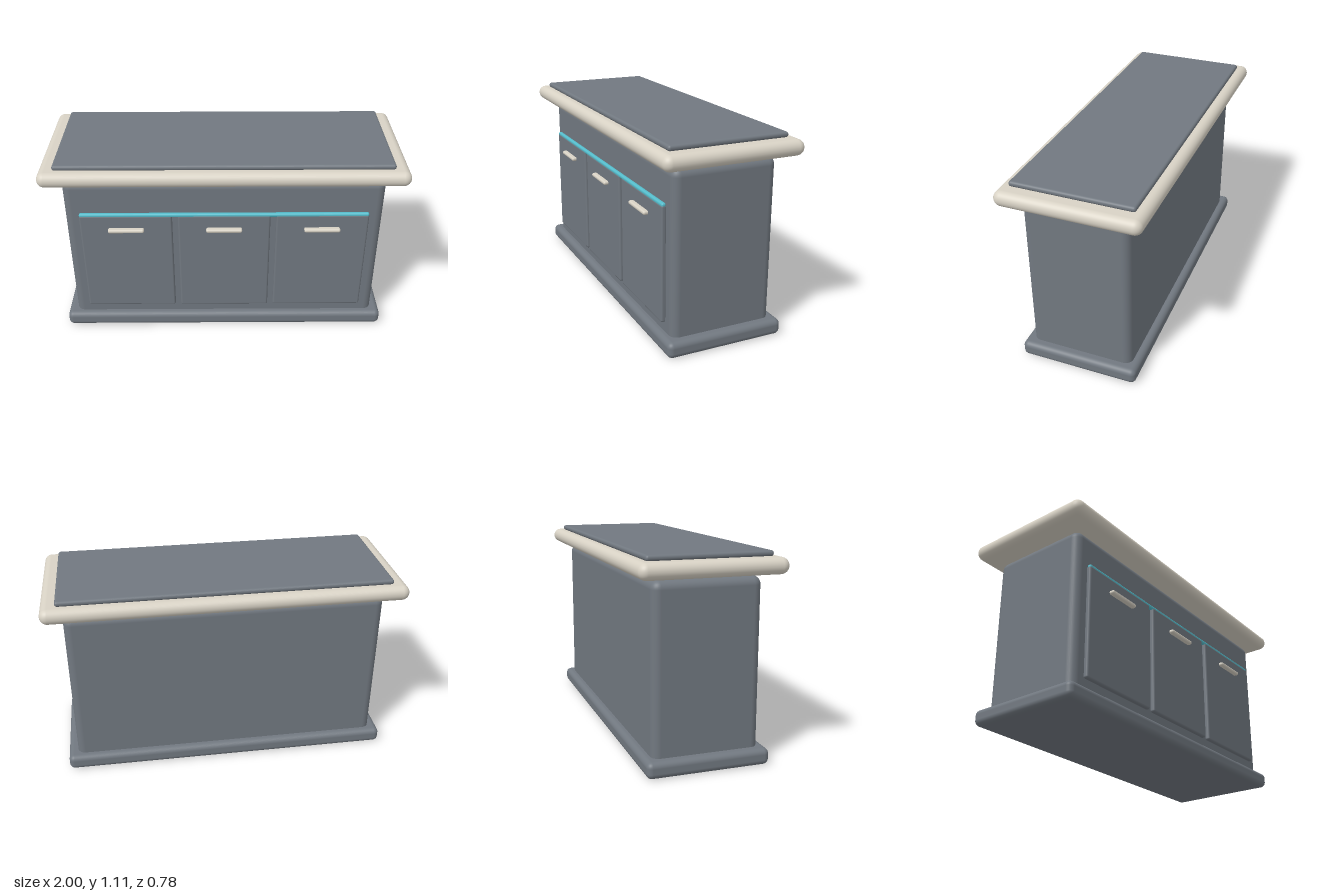
import * as THREE from 'three';
import { RoundedBoxGeometry } from 'three/addons/geometries/RoundedBoxGeometry.js';

export function createModel() {
  const model = new THREE.Group();
  model.name = 'counter';

  const material = (name, color) => {
    const m = new THREE.MeshStandardMaterial({ color });
    m.name = name;
    return m;
  };
  const slate = material('slate grey', 0x717880);
  const cream = material('warm cream', 0xd8d2c5);
  const teal = material('teal', 0x55bccb);

  // Rounded block given by its min and max on each axis
  const block = (name, mat, [x0, x1], [y0, y1], [z0, z1], radius, parent = model) => {
    const geometry = new RoundedBoxGeometry(x1 - x0, y1 - y0, z1 - z0, 4, radius);
    const mesh = new THREE.Mesh(geometry, mat);
    mesh.name = name;
    mesh.position.set((x0 + x1) / 2, (y0 + y1) / 2, (z0 + z1) / 2);
    parent.add(mesh);
  };

  // Plinth, cabinet and worktop
  block('plinth', slate, [-0.944, 0.944], [0, 0.088], [-0.333, 0.333], 0.03);
  block('cabinet', slate, [-0.89, 0.89], [0.03, 0.985], [-0.291, 0.291], 0.045);
  block('worktop', cream, [-1, 1], [1, 1.085], [-0.388, 0.388], 0.042);
  block('worktopInlay', slate, [-0.917, 0.917], [1.083, 1.113], [-0.333, 0.333], 0.014);

  // Three doors with bar handles
  for (const x of [-0.55, 0, 0.55]) {
    const door = new THREE.Group();
    door.name = 'door';
    door.position.x = x;
    block('doorPanel', slate, [-0.259, 0.259], [0.145, 0.784], [0.285, 0.315], 0.011, door);
    block('doorHandle', cream, [-0.101, 0.101], [0.684, 0.706], [0.308, 0.342], 0.01, door);
    model.add(door);
  }

  // Accent strip along the door tops
  block('accentStrip', teal, [-0.808, 0.808], [0.772, 0.795], [0.289, 0.314], 0.01);

  return model;
}
